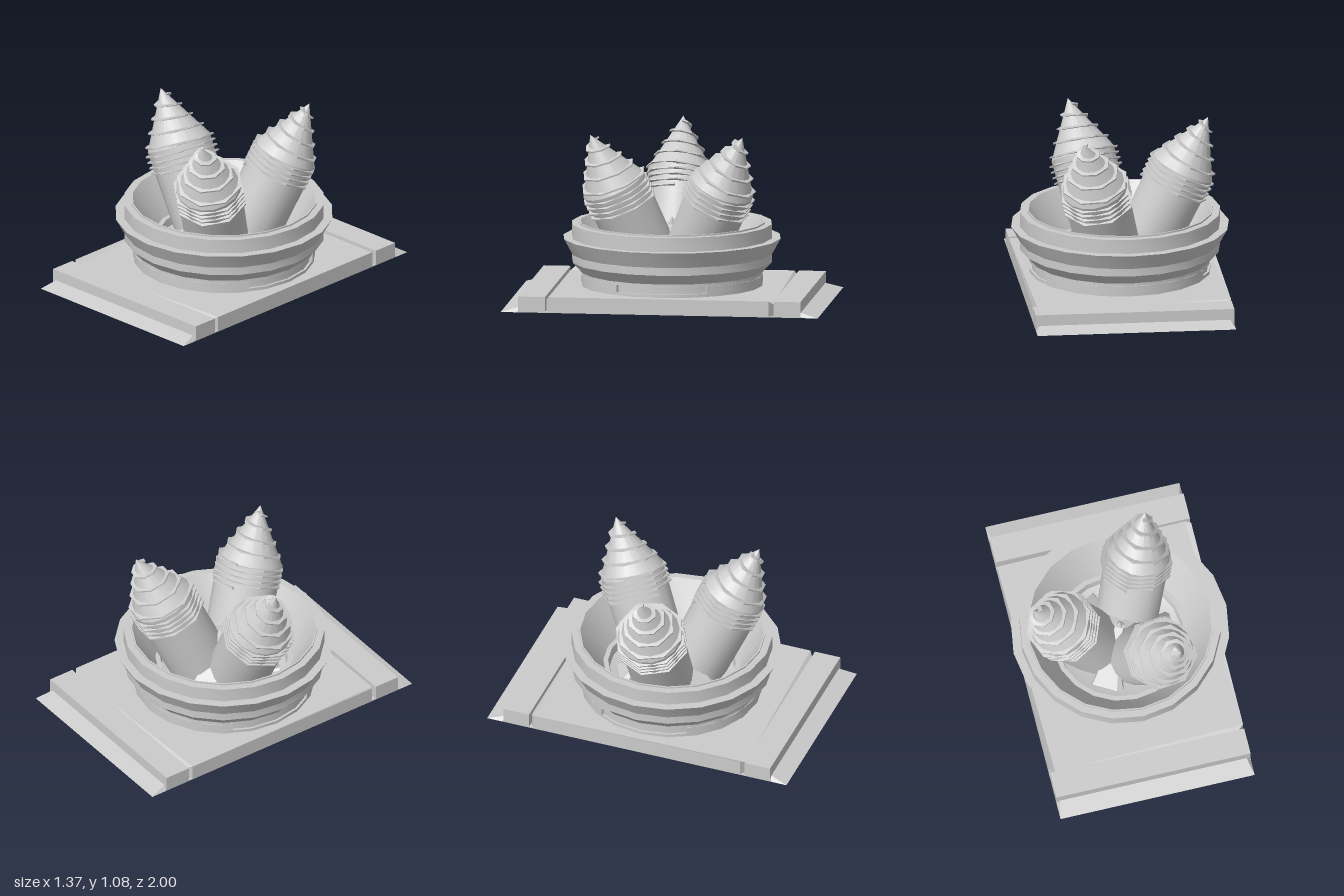
import * as THREE from 'three';
import { toCreasedNormals } from 'three/addons/utils/BufferGeometryUtils.js';

const material = new THREE.MeshStandardMaterial({ color: 0xcccccc, side: THREE.DoubleSide });

function part(name, geometry, crease = 0.5) {
  const mesh = new THREE.Mesh(toCreasedNormals(geometry, crease), material);
  mesh.name = name;
  return mesh;
}

// Joins equal-length rings of points into a skin; rings are closed loops.
function loft(rings, caps = true) {
  const n = rings[0].length, index = [];
  for (let i = 0; i < rings.length - 1; i++)
    for (let j = 0; j < n; j++) {
      const a = i * n + j, b = i * n + (j + 1) % n;
      index.push(a, b, a + n, b, b + n, a + n);
    }
  if (caps) {
    const end = (rings.length - 1) * n;
    for (let j = 1; j < n - 1; j++) index.push(0, j + 1, j, end, end + j, end + j + 1);
  }
  const g = new THREE.BufferGeometry();
  g.setAttribute('position', new THREE.Float32BufferAttribute(rings.flat(2), 3));
  g.setIndex(index);
  return g;
}

// Rectangle in plan at height y, counter-clockwise seen from above.
const rect = (x, z0, z1, y) => [[-x, y, z1], [x, y, z1], [x, y, z0], [-x, y, z0]];

// Eight-sided helical flange around local y; s is the distance below the tip.
function thread(s0, s1, turns, radiusAt, width) {
  const rings = [], steps = turns * 8;
  for (let i = 0; i <= steps; i++) {
    const s = s0 + (s1 - s0) * i / steps;
    const a = -i * Math.PI / 4, r = radiusAt(s);
    const p = (rad, y) => [Math.cos(a) * rad, y, Math.sin(a) * rad];
    rings.push([
      p(r - 0.015, -s - 0.012), p(r + width, -s - 0.006),
      p(r + width, -s + 0.004), p(r - 0.015, -s + 0.008),
    ]);
  }
  return loft(rings);
}

function createDrill() {
  const drill = new THREE.Group();
  drill.name = 'drill';
  const coneLength = 0.36, radius = 0.205;

  const cone = part('drillCone', new THREE.ConeGeometry(radius, coneLength, 16), 0.6);
  cone.position.y = -coneLength / 2;

  const barrel = part('drillBarrel', new THREE.CylinderGeometry(radius, 0.195, 0.64, 16), 0.6);
  barrel.position.y = -coneLength - 0.32;

  drill.add(
    cone, barrel,
    part('coneThread', thread(0.04, coneLength, 4, s => radius * s / coneLength, 0.024)),
    part('barrelThread', thread(0.365, 0.51, 4, () => radius, 0.022)),
  );
  // Lean outwards toward -x
  drill.position.set(-0.554, 1.078, 0);
  drill.rotation.z = THREE.MathUtils.degToRad(26);
  return drill;
}

function createPlate() {
  const plate = new THREE.Group();
  plate.name = 'basePlate';
  const w = 0.625;

  const sheet = part('bottomSheet', new THREE.BoxGeometry(2 * w, 0.006, 1.8));
  sheet.position.y = 0.003;

  // Main slab with chamfered corners beside the grooves
  const outline = new THREE.Shape([
    [w, -0.69], [w, 0.69], [0.59, 0.715], [-0.59, 0.715],
    [-w, 0.69], [-w, -0.69], [-0.59, -0.715], [0.59, -0.715],
  ].map(([x, y]) => new THREE.Vector2(x, y)));
  const slab = new THREE.ExtrudeGeometry(outline, { depth: 0.1, bevelEnabled: false });
  slab.rotateX(-Math.PI / 2);
  // Slope the top edge along each groove
  const pos = slab.attributes.position;
  for (let i = 0; i < pos.count; i++)
    if (Math.abs(pos.getZ(i)) > 0.7 && pos.getY(i) > 0.05) pos.setY(i, 0.08);
  plate.add(sheet, part('mainSlab', slab, 0.1));

  for (const turn of [0, Math.PI]) {
    const end = new THREE.Group();
    end.name = 'plateEnd';
    const block = part('endBlock', new THREE.BoxGeometry(2 * w, 0.1, 0.17));
    block.position.set(0, 0.05, 0.805);
    // Thin sloped lip with tapering ends
    const lip = part('endLip', loft([rect(w, 0.88, 1, 0), rect(0.6, 0.88, 0.89, 0.03)]), 0.1);
    end.add(block, lip);
    end.rotation.y = turn;
    plate.add(end);
  }
  return plate;
}

function createBowl() {
  const bowl = new THREE.Group();
  bowl.name = 'bowl';
  const profile = [
    [0.57, 0.1], [0.57, 0.12], [0.555, 0.12], [0.555, 0.165], [0.57, 0.165], [0.57, 0.185],
    [0.63, 0.25], [0.63, 0.3], [0.685, 0.4], [0.63, 0.4], [0.63, 0.49], [0.585, 0.49],
    [0.585, 0.5], [0.575, 0.5], [0.43, 0.27], [0.4, 0.27], [0.39, 0.22], [0.33, 0.2], [0, 0.2],
  ].map(([r, y]) => new THREE.Vector2(r, y));
  bowl.add(part('bowlBody', new THREE.LatheGeometry(profile, 20), 0.4));

  // Foot bands that leave a shallow slot open on each side
  for (const start of [Math.PI / 6, Math.PI * 7 / 6]) {
    const sector = new THREE.Shape();
    sector.absarc(0, 0, 0.57, start, start + Math.PI * 2 / 3, false);
    sector.absarc(0, 0, 0.53, start + Math.PI * 2 / 3, start, true);
    const band = new THREE.ExtrudeGeometry(sector, { depth: 0.045, bevelEnabled: false, curveSegments: 7 });
    band.rotateX(-Math.PI / 2).translate(0, 0.12, 0);
    bowl.add(part('footBand', band, 0.4));
  }
  return bowl;
}

// Wedge running from the hub down to the bowl floor along +x
function createRib() {
  const section = (x, half, top) => [
    [x, 0.18, half * 1.6], [x, 0.18, -half * 1.6], [x, top, -half], [x, top, half],
  ];
  return part('hubRib', loft([
    section(0, 0.025, 0.49), section(0.09, 0.03, 0.46),
    section(0.2, 0.05, 0.34), section(0.34, 0.08, 0.22),
  ]), 0.1);
}

export function createModel() {
  const model = new THREE.Group();
  model.name = 'drillTurret';
  model.add(createPlate(), createBowl());

  // Three drills with a rib between each pair
  for (let i = 0; i < 3; i++) {
    const spoke = new THREE.Group();
    spoke.name = 'drillSpoke';
    spoke.add(createDrill(), createRib());
    spoke.rotation.y = i * Math.PI * 2 / 3;
    model.add(spoke);
  }

  // Pointed hub where the drills meet
  const hub = part('hubPoint', new THREE.ConeGeometry(0.06, 0.1, 4), 0.1);
  hub.position.y = 0.48;
  model.add(hub);
  return model;
}
